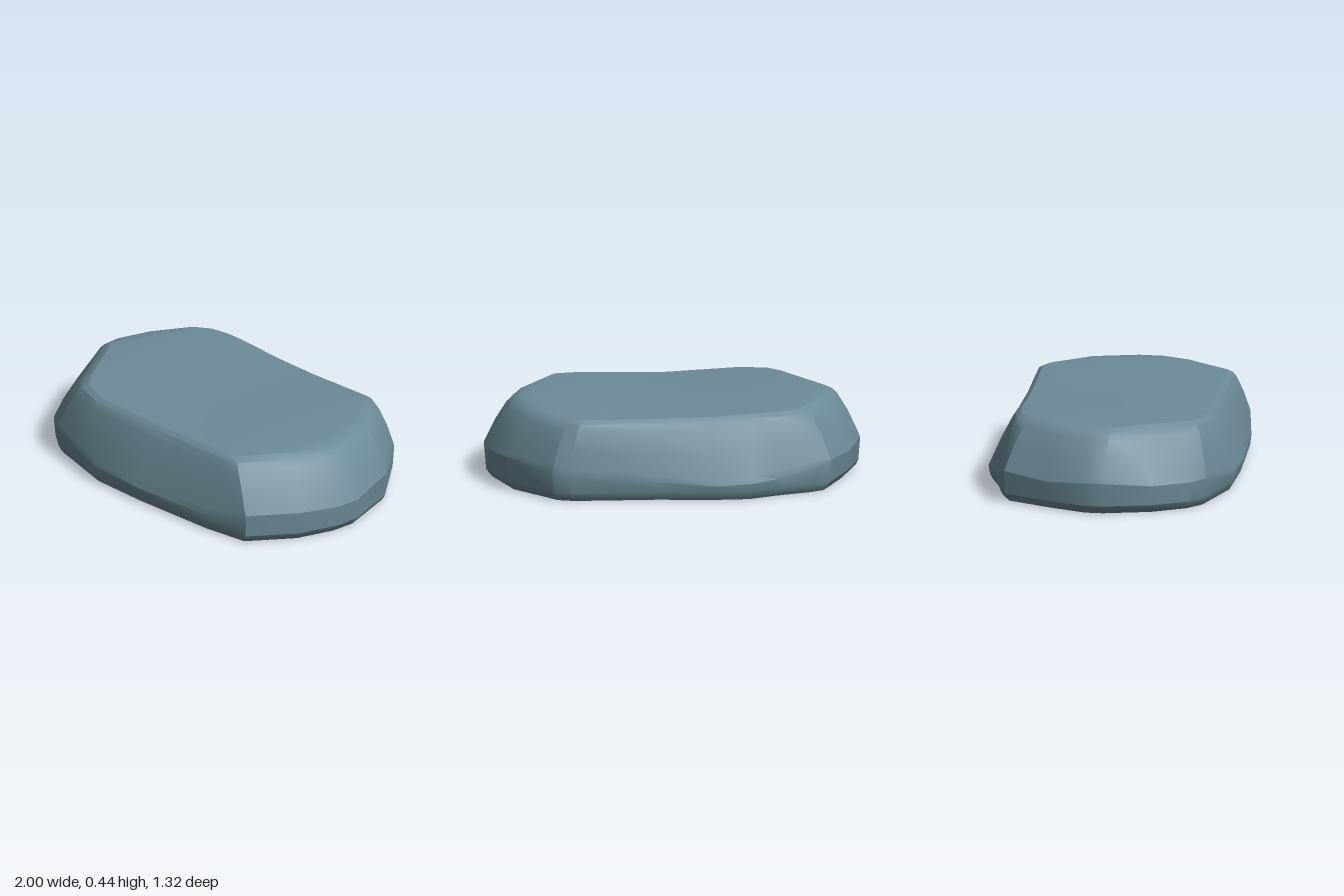
import * as THREE from 'three';
import { toCreasedNormals } from 'three/addons/utils/BufferGeometryUtils.js';

// Facet columns around the rock: foot x, foot z, shoulder height, rim x, rim z
const COLUMNS = [
  [-1, -0.04, 0.17, -0.86, -0.02], [-0.92, -0.25, 0.15, -0.8, -0.2],
  [-0.8, -0.5, 0.17, -0.69, -0.4], [-0.72, -0.54, 0.14, -0.61, -0.46],
  [-0.52, -0.6, 0.1, -0.5, -0.49], [-0.37, -0.66, 0.09, -0.38, -0.5],
  [-0.18, -0.66, 0.08, -0.15, -0.51], [0.14, -0.625, 0.1, 0.15, -0.525],
  [0.6, -0.61, 0.14, 0.54, -0.55], [0.69, -0.58, 0.17, 0.6, -0.52],
  [0.91, -0.32, 0.18, 0.77, -0.31], [1, -0.03, 0.16, 0.84, -0.06],
  [0.99, 0.1, 0.16, 0.84, 0.08], [0.92, 0.31, 0.17, 0.78, 0.23],
  [0.75, 0.55, 0.17, 0.61, 0.48], [0.5, 0.6, 0.1, 0.5, 0.5],
  [0, 0.645, 0.09, 0, 0.52], [-0.33, 0.655, 0.1, -0.42, 0.545],
  [-0.7, 0.57, 0.15, -0.58, 0.5], [-0.8, 0.5, 0.15, -0.65, 0.42],
  [-0.92, 0.32, 0.15, -0.78, 0.2], [-1, 0.06, 0.17, -0.86, 0.08],
];

// Gently saddled top surface
const crown = (x, z) =>
  0.425 + 0.0075 * (1 - Math.cos((Math.PI * x) / 0.55)) - 0.05 * z * z;

// Cross-sections from the underside centre to the top centre
const foot = (scale, y) => ([x, z]) => [x * scale, y, z * scale];
const side = (t, bulge) => ([x, z, h, tx, tz]) => {
  const s = 1 + bulge;
  const rim = crown(tx, tz) - 0.018;
  return [(x + (tx - x) * t) * s, h + (rim - h) * t, (z + (tz - z) * t) * s];
};
const top = (scale) => ([, , , tx, tz]) => {
  const x = tx * scale, z = tz * scale;
  return [x, crown(x, z), z];
};
const SECTIONS = [
  foot(0, 0), foot(0.955, 0), foot(0.975, 0.02), foot(0.99, 0.045),
  side(0, 0), side(0.12, 0.004), side(0.5, 0.016), side(0.88, 0.014), side(1, 0),
  top(0.95), top(0.88), top(0.7), top(0.45), top(0.2), top(0),
];

function rockGeometry() {
  const n = COLUMNS.length, last = SECTIONS.length - 2;
  const points = SECTIONS.flatMap((section) => COLUMNS.map(section)).flat();
  const index = [];
  for (let r = 0; r <= last; r++) {
    for (let i = 0; i < n; i++) {
      const j = (i + 1) % n;
      const a = r * n + i, b = r * n + j, c = b + n, d = a + n;
      if (r < last) index.push(a, d, c);
      if (r === last) index.push(a, d, b);
      else if (r > 0) index.push(a, c, b);
    }
  }
  const geometry = new THREE.BufferGeometry();
  geometry.setAttribute('position', new THREE.Float32BufferAttribute(points, 3));
  geometry.setIndex(index);
  return toCreasedNormals(geometry, 0.42);
}

export function createModel() {
  const stone = new THREE.MeshStandardMaterial({ color: 0x6c8b98 });
  stone.name = 'blue grey stone';
  const rock = new THREE.Mesh(rockGeometry(), stone);
  rock.name = 'rock';
  const model = new THREE.Group();
  model.name = 'flat boulder';
  model.add(rock);
  return model;
}
